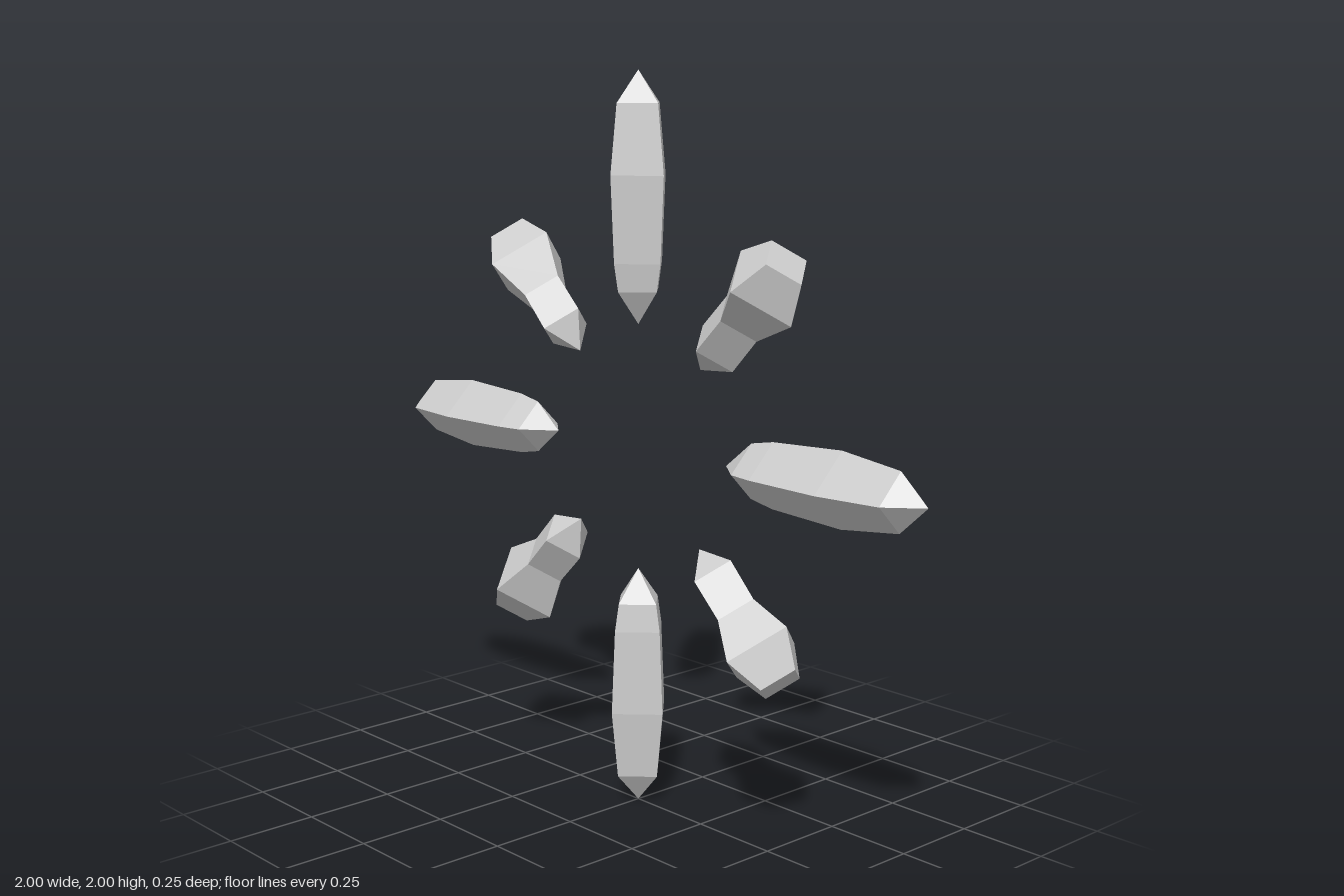
import * as THREE from 'three';

// Profiles as [radius, distance from the centre of the ring]
const LONG = [[0, 0.335], [0.072, 0.425], [0.086, 0.5], [0.098, 0.73], [0.076, 0.915], [0, 1]];
const SHORT = [[0, 0.337], [0.077, 0.425], [0.075, 0.545], [0.124, 0.662], [0.072, 0.76], [0, 0.76]];

// Four-sided faceted solid, corners in the plane of the ring and on the z axis
function crystal(profile) {
  return new THREE.LatheGeometry(profile.map(([r, d]) => new THREE.Vector2(r, d)), 4);
}

export function createModel() {
  const model = new THREE.Group();
  model.name = 'crystalRing';
  const material = new THREE.MeshStandardMaterial({ color: 0xcccccc, flatShading: true });
  const longGeometry = crystal(LONG);
  const shortGeometry = crystal(SHORT);

  // Eight rays around the centre, long and short in turn
  for (let i = 0; i < 8; i++) {
    const isLong = i % 2 === 0;
    const ray = new THREE.Mesh(isLong ? longGeometry : shortGeometry, material);
    ray.name = (isLong ? 'longRay' : 'shortRay') + (Math.floor(i / 2) + 1);
    ray.position.y = 1;
    ray.rotation.z = (i * Math.PI) / 4;
    model.add(ray);
  }
  return model;
}
